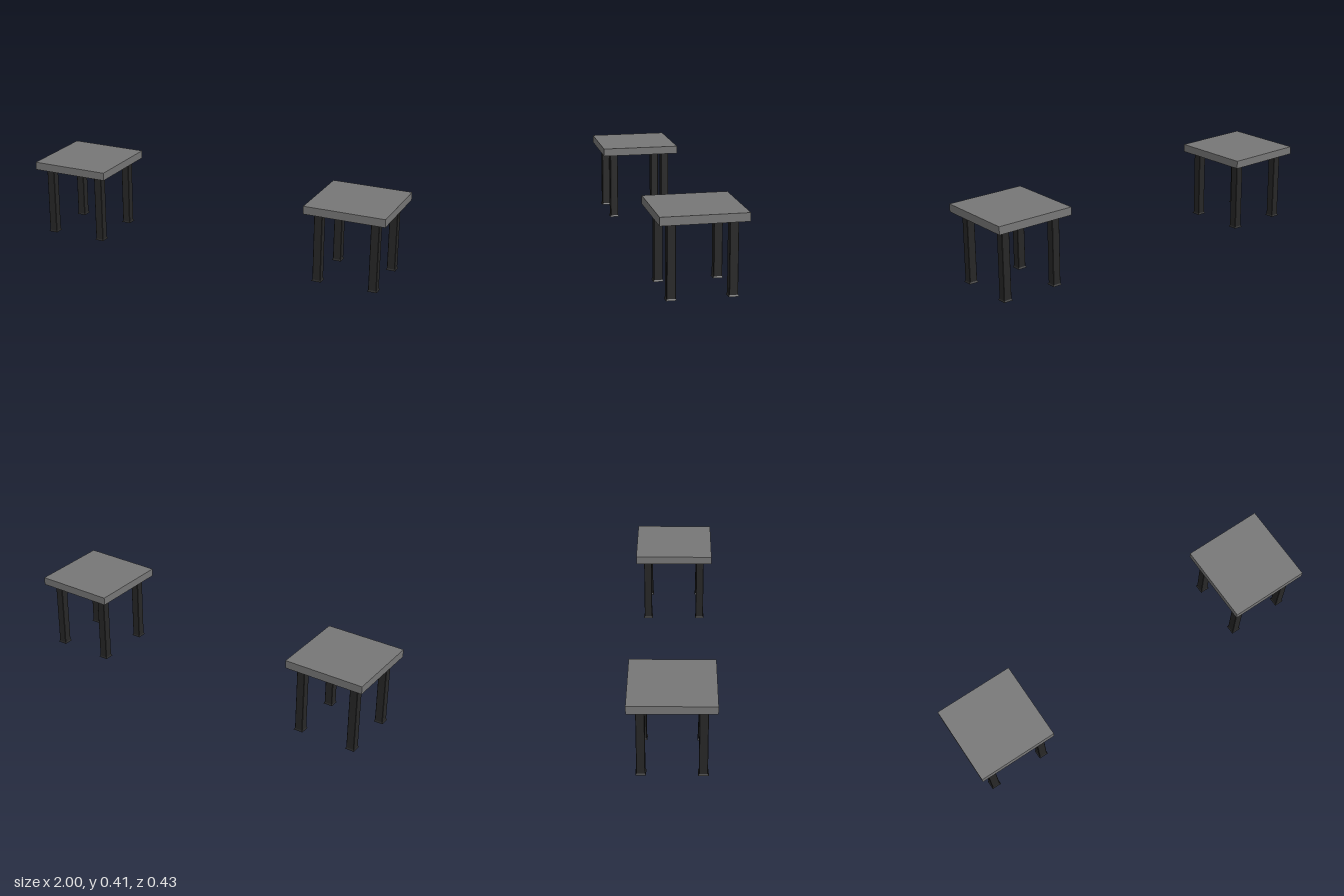
import * as THREE from 'three';

const SIZE = 0.427, TOP = 0.413, UNDER = 0.371, RECESS = 0.015, RIM = 0.036;
const LEG = 0.043, LEG_OFFSET = 0.149, FOOT_H = 0.008;

const topMaterial = new THREE.MeshStandardMaterial({ color: 0x777777 });
const legMaterial = new THREE.MeshStandardMaterial({ color: 0x272727 });

function addMesh(parent, name, geometry, material, x = 0, y = 0, z = 0) {
  const mesh = new THREE.Mesh(geometry, material);
  mesh.name = name;
  mesh.position.set(x, y, z);
  parent.add(mesh);
}

// Square outline with slightly clipped corners
function squareOutline(size, clip = 0) {
  const h = size / 2, c = h - clip;
  const points = clip
    ? [[c, -h], [h, -c], [h, c], [c, h], [-c, h], [-h, c], [-h, -c], [-c, -h]]
    : [[h, -h], [h, h], [-h, h], [-h, -h]];
  return points.map(([x, y]) => new THREE.Vector2(x, y));
}

// Extrude an outline upwards from y = 0
function extrudeUp(outline, height, hole) {
  const shape = new THREE.Shape(outline);
  if (hole) shape.holes.push(new THREE.Path(hole));
  return new THREE.ExtrudeGeometry(shape, { depth: height, bevelEnabled: false }).rotateX(-Math.PI / 2);
}

// Square foot, flaring towards the floor
function footGeometry() {
  const r = Math.SQRT1_2;
  return new THREE.CylinderGeometry(LEG * r, 0.051 * r, FOOT_H, 4)
    .rotateY(Math.PI / 4).toNonIndexed();
}

function createTable(name) {
  const table = new THREE.Group();
  table.name = name;

  // Table top with a recessed underside
  const panelY = UNDER + RECESS;
  addMesh(table, 'tableTop', new THREE.BoxGeometry(SIZE, TOP - panelY, SIZE), topMaterial, 0, (TOP + panelY) / 2, 0);
  addMesh(table, 'tableRim', extrudeUp(squareOutline(SIZE), RECESS, squareOutline(SIZE - 2 * RIM)), topMaterial, 0, UNDER, 0);

  // Four legs reaching up into the recess
  const legGeometry = extrudeUp(squareOutline(LEG, 0.002), panelY - FOOT_H);
  const foot = footGeometry();
  foot.computeVertexNormals();
  for (const sx of [-1, 1]) {
    for (const sz of [-1, 1]) {
      const leg = new THREE.Group();
      leg.name = (sz > 0 ? 'front' : 'back') + (sx > 0 ? 'Left' : 'Right') + 'Leg';
      leg.position.set(sx * LEG_OFFSET, 0, sz * LEG_OFFSET);
      addMesh(leg, 'legPost', legGeometry, legMaterial, 0, FOOT_H, 0);
      addMesh(leg, 'foot', foot, legMaterial, 0, FOOT_H / 2, 0);
      table.add(leg);
    }
  }
  return table;
}

export function createModel() {
  const model = new THREE.Group();
  model.name = 'sideTables';
  for (const side of [-1, 1]) {
    const table = createTable(side > 0 ? 'leftTable' : 'rightTable');
    table.position.x = side * (1 - SIZE / 2);
    model.add(table);
  }
  return model;
}
